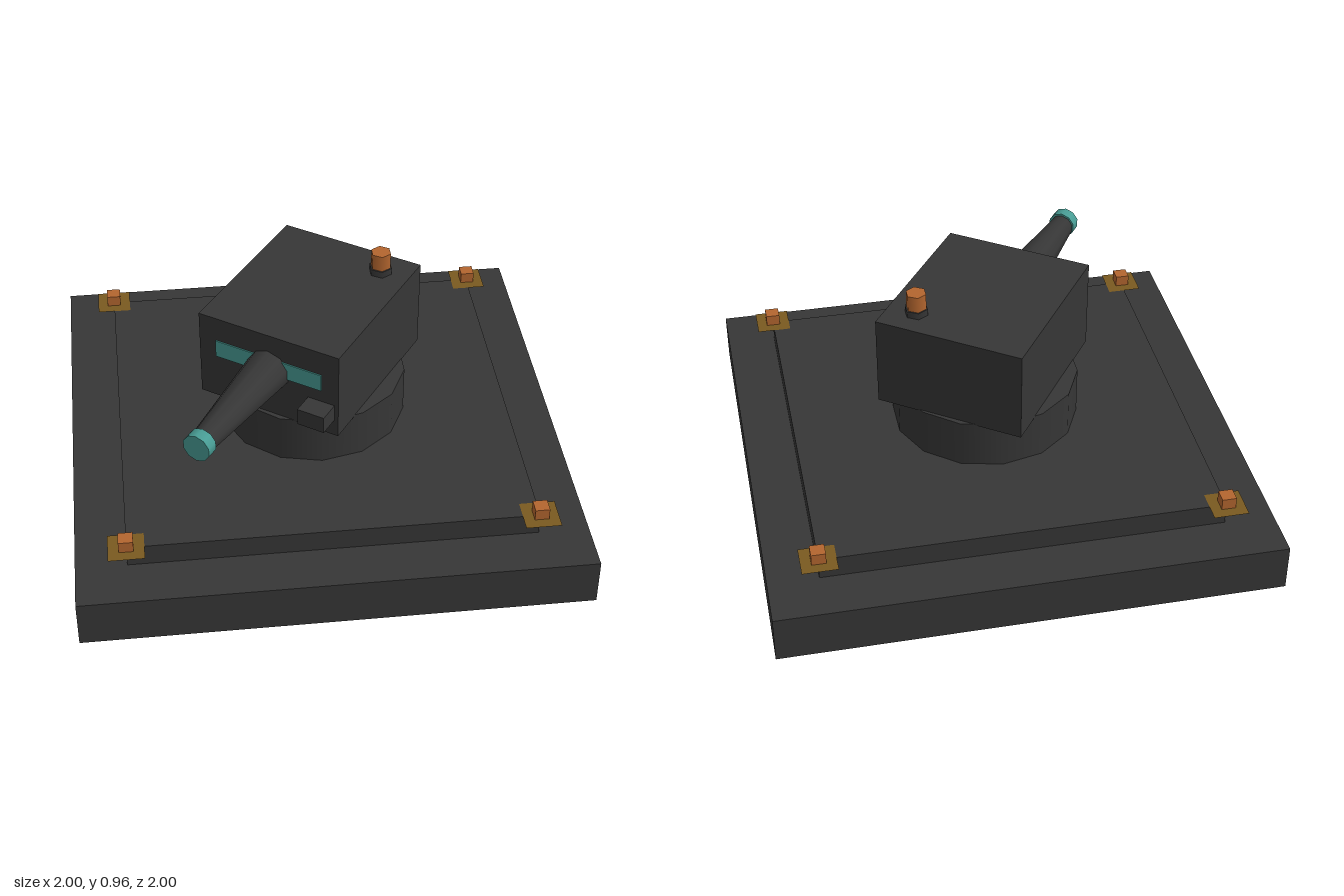
import * as THREE from 'three';

export function createModel() {
  const mat = (name, color, extra = {}) => {
    const m = new THREE.MeshStandardMaterial({ color, ...extra });
    m.name = name;
    return m;
  };
  const dark = mat('dark metal', 0x363636);
  const teal = mat('teal glow', 0x489c94);
  const orange = mat('orange light', 0xb4662f);
  const amber = mat('amber halo', 0x7a5a20, { side: THREE.DoubleSide });

  const root = new THREE.Group();
  root.name = 'turret';
  const add = (parent, name, geo, material, x, y, z) => {
    const mesh = new THREE.Mesh(geo, material);
    mesh.name = name;
    mesh.position.set(x, y, z);
    parent.add(mesh);
    return mesh;
  };
  const box = (w, h, d) => new THREE.BoxGeometry(w, h, d);

  // Stepped square base
  add(root, 'basePlate', box(2, 0.195, 2), dark, 0, 0.0975, 0);
  add(root, 'upperPlate', box(1.6, 0.09, 1.6), dark, 0, 0.24, 0);

  // Corner lamps, each on a thin square halo
  for (const sx of [-1, 1]) {
    for (const sz of [-1, 1]) {
      const halo = new THREE.PlaneGeometry(0.14, 0.14).rotateX(-Math.PI / 2);
      add(root, 'cornerHalo', halo, amber, sx * 0.8, 0.288, sz * 0.8);
      add(root, 'cornerLamp', box(0.057, 0.047, 0.057), orange, sx * 0.8, 0.3125, sz * 0.8);
    }
  }

  // Pedestal
  add(root, 'pedestal', new THREE.CylinderGeometry(0.382, 0.382, 0.2, 14), dark, 0, 0.385, 0);

  // Head, turned towards the front right
  const head = new THREE.Group();
  head.name = 'head';
  head.rotation.y = -0.61;
  root.add(head);
  add(head, 'housing', box(0.62, 0.38, 0.712), dark, 0, 0.67, 0);
  add(head, 'frontStrip', box(0.47, 0.075, 0.008), teal, 0, 0.717, 0.357);
  add(head, 'sensor', box(0.116, 0.072, 0.1), dark, 0.235, 0.59, 0.394);

  // Tapered barrel and muzzle, laid along the head's forward axis
  const barrel = new THREE.CylinderGeometry(0.05, 0.093, 0.52, 10).rotateX(Math.PI / 2);
  add(head, 'barrel', barrel, dark, 0, 0.693, 0.6);
  const muzzle = new THREE.CylinderGeometry(0.058, 0.058, 0.05, 10).rotateX(Math.PI / 2);
  add(head, 'muzzle', muzzle, teal, 0, 0.695, 0.872);

  // Hexagonal beacon on the roof
  add(root, 'beaconBase', new THREE.CylinderGeometry(0.048, 0.048, 0.03, 6), dark, 0.29, 0.873, -0.087);
  add(root, 'beacon', new THREE.CylinderGeometry(0.042, 0.042, 0.07, 6), orange, 0.29, 0.921, -0.087);

  return root;
}
